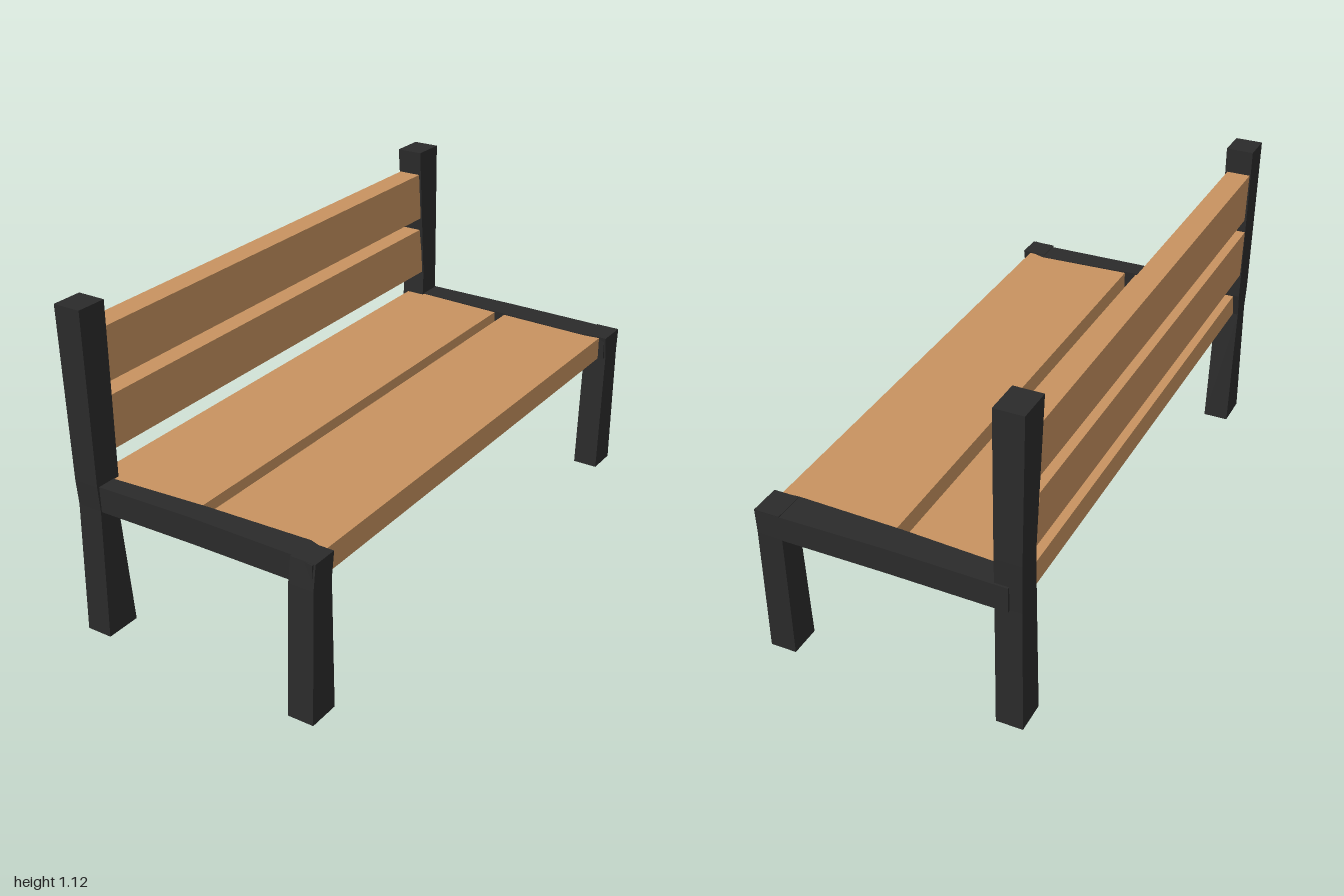
import * as THREE from 'three';

const iron = new THREE.MeshStandardMaterial({ color: 0x2b2b2b, flatShading: true });
const wood = new THREE.MeshStandardMaterial({ color: 0xc89360, flatShading: true });

// Beam through rectangular sections along 'x' or 'y'.
// Each section: [position along axis, crossMin, crossMax, zMin, zMax].
function beam(name, axis, sections, material) {
  const n = sections.length - 1;
  const alongX = axis === 'x';
  const geo = new THREE.BoxGeometry(1, 1, 1, alongX ? n : 1, alongX ? 1 : n, 1).toNonIndexed();
  const p = geo.attributes.position;
  for (let i = 0; i < p.count; i++) {
    const along = alongX ? p.getX(i) : p.getY(i);
    const across = alongX ? p.getY(i) : p.getX(i);
    const [t, c0, c1, z0, z1] = sections[Math.round((along + 0.5) * n)];
    const c = across < 0 ? c0 : c1;
    const z = p.getZ(i) < 0 ? z0 : z1;
    p.setXYZ(i, alongX ? t : c, alongX ? c : t, z);
  }
  geo.computeVertexNormals();
  const mesh = new THREE.Mesh(geo, material);
  mesh.name = name;
  return mesh;
}

export function createModel() {
  const bench = new THREE.Group();
  bench.name = 'bench';

  // End frames, slightly crooked like hand-cut timber
  const frameA = new THREE.Group();
  frameA.name = 'endFrameFrontSide';
  frameA.add(
    beam('backPost', 'y', [
      [0, -0.44, -0.35, 0.86, 0.985],
      [0.45, -0.44, -0.352, 0.9, 0.975],
      [0.535, -0.443, -0.354, 0.885, 0.98],
      [1.115, -0.45, -0.354, 0.885, 0.99],
    ], iron),
    beam('frontLeg', 'y', [
      [0, 0.355, 0.445, 0.89, 1],
      [0.45, 0.358, 0.445, 0.895, 0.985],
      [0.535, 0.36, 0.447, 0.885, 0.975],
    ], iron),
    beam('seatRail', 'x', [
      [-0.4, 0.447, 0.533, 0.91, 0.972],
      [0, 0.447, 0.536, 0.888, 0.965],
      [0.36, 0.447, 0.533, 0.872, 0.965],
      [0.44, 0.45, 0.533, 0.898, 0.982],
    ], iron),
  );

  const frameB = new THREE.Group();
  frameB.name = 'endFrameFarSide';
  frameB.add(
    beam('backPost', 'y', [
      [0, -0.44, -0.35, -0.99, -0.88],
      [0.45, -0.44, -0.352, -0.99, -0.895],
      [0.62, -0.443, -0.354, -0.995, -0.905],
      [1.115, -0.45, -0.354, -0.99, -0.868],
    ], iron),
    beam('frontLeg', 'y', [
      [0, 0.355, 0.445, -0.99, -0.88],
      [0.45, 0.358, 0.445, -0.993, -0.9],
      [0.535, 0.36, 0.447, -0.995, -0.885],
    ], iron),
    beam('seatRail', 'x', [
      [-0.4, 0.447, 0.533, -1, -0.912],
      [0, 0.447, 0.536, -0.995, -0.893],
      [0.36, 0.447, 0.533, -0.995, -0.88],
      [0.44, 0.45, 0.533, -0.995, -0.888],
    ], iron),
  );
  bench.add(frameA, frameB);

  // Seat planks, ends following the rails
  bench.add(
    beam('rearSeatPlank', 'x', [
      [-0.42, 0.449, 0.531, -0.915, 0.915],
      [-0.025, 0.449, 0.531, -0.9, 0.9],
    ], wood),
    beam('frontSeatPlank', 'x', [
      [0.018, 0.449, 0.531, -0.9, 0.895],
      [0.42, 0.449, 0.531, -0.895, 0.89],
    ], wood),
  );

  // Backrest slats
  for (const [name, y0, y1] of [['lowerBackSlat', 0.625, 0.803], ['upperBackSlat', 0.85, 1.027]]) {
    bench.add(beam(name, 'y', [
      [y0, -0.44, -0.36, -0.91, 0.895],
      [y1, -0.445, -0.362, -0.885, 0.892],
    ], wood));
  }
  return bench;
}
